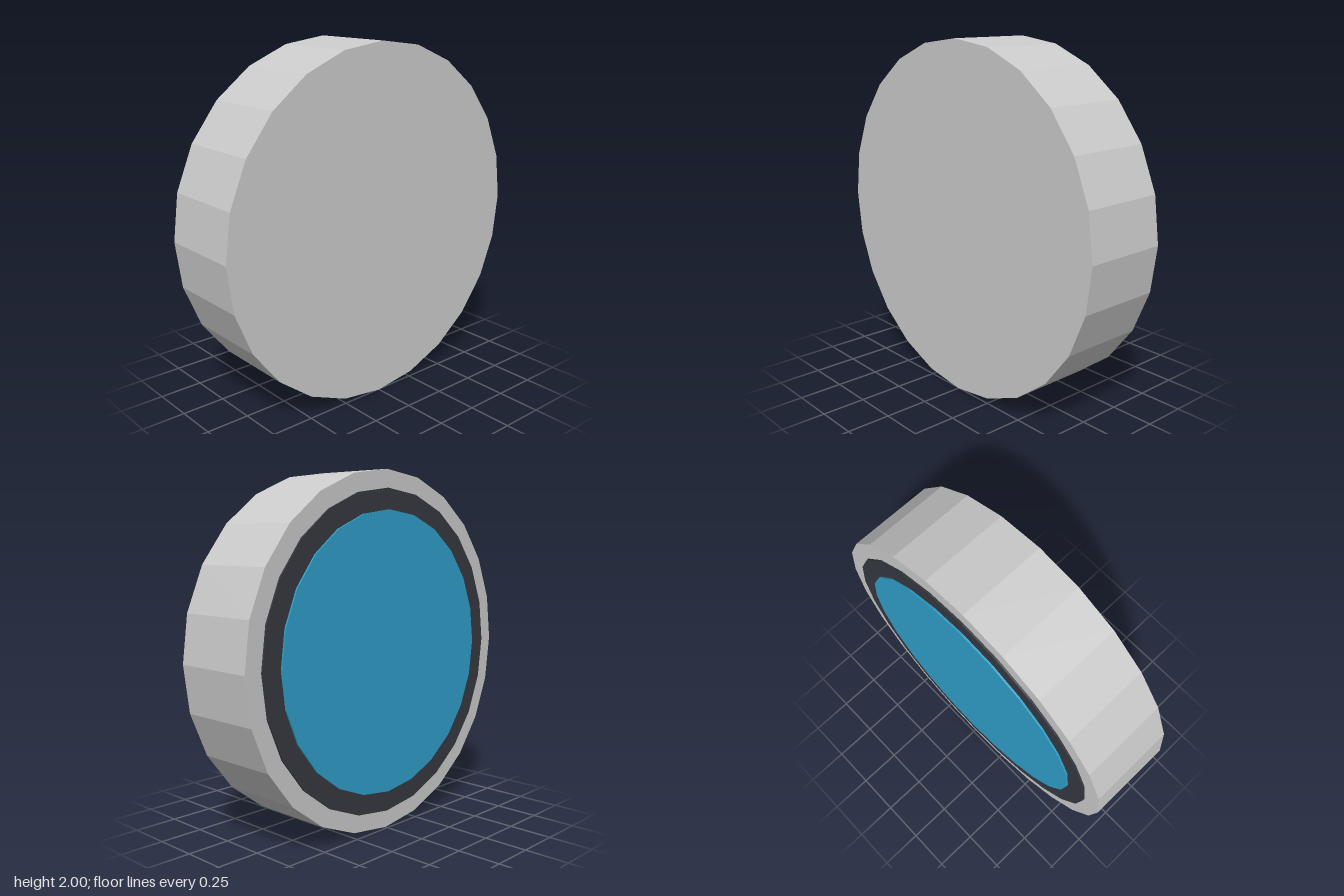
import * as THREE from 'three';

const SIDES = 24;

// Flat-shaded disc facing along z, spanning zBack..zFront
function disc(name, radius, zBack, zFront, color) {
  const geometry = new THREE.CylinderGeometry(radius, radius, zFront - zBack, SIDES);
  geometry.rotateX(Math.PI / 2);
  const material = new THREE.MeshStandardMaterial({ color, flatShading: true });
  const mesh = new THREE.Mesh(geometry, material);
  mesh.name = name;
  mesh.position.set(0, 1, (zBack + zFront) / 2);
  return mesh;
}

export function createModel() {
  const model = new THREE.Group();
  model.name = 'roundPuck';
  // Thick drum, then two thin plates stacked on its back
  model.add(disc('body', 1, -0.235, 0.255, 0xcccccc));
  model.add(disc('darkRim', 0.9, -0.245, -0.235, 0x363941));
  model.add(disc('bluePanel', 0.785, -0.255, -0.245, 0x30a0cb));
  return model;
}
